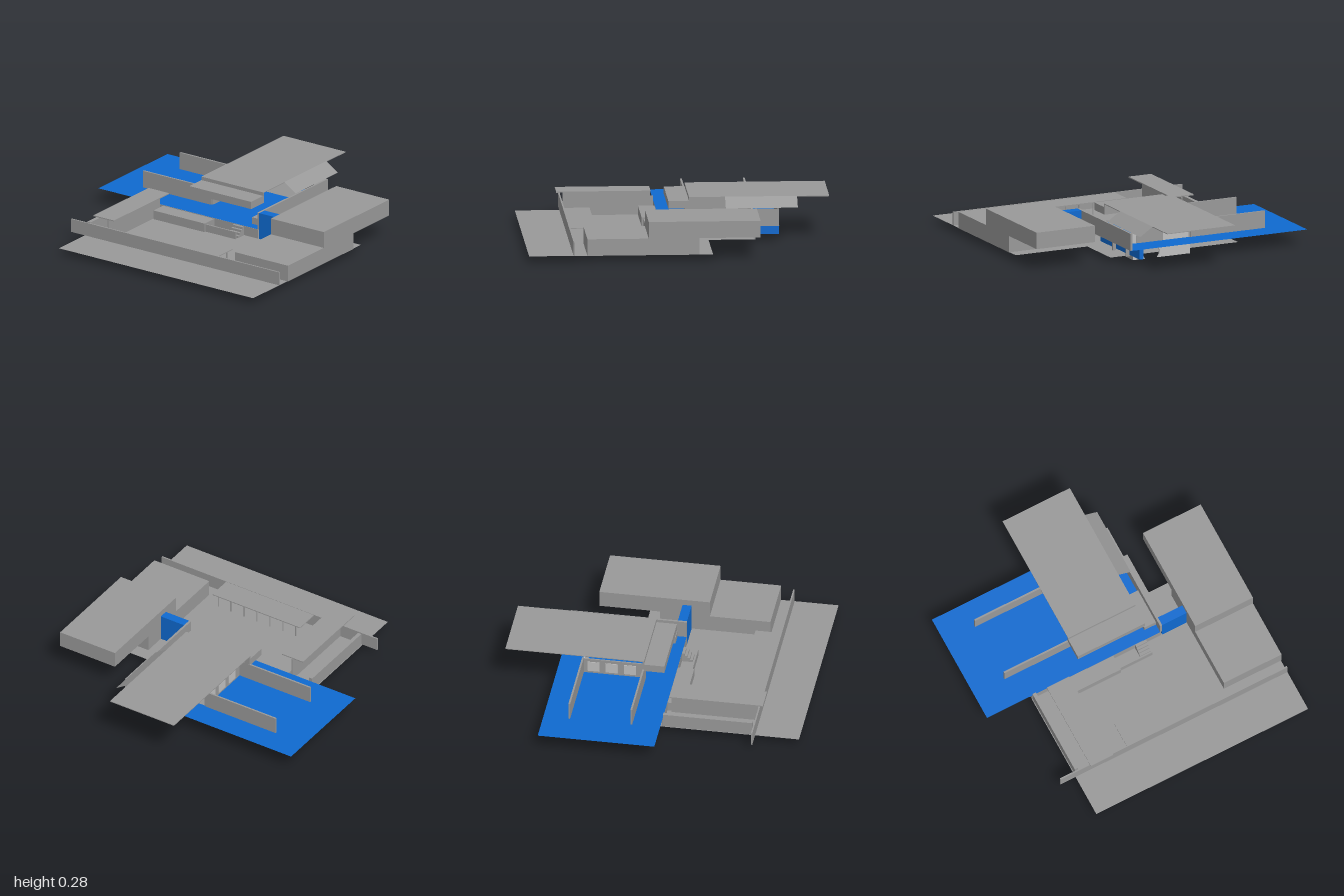
import * as THREE from 'three';

export function createModel() {
  const model = new THREE.Group();
  const mat = (name, color) => {
    const m = new THREE.MeshStandardMaterial({ color, side: THREE.DoubleSide });
    m.name = name;
    return m;
  };
  const gray = mat('concrete gray', 0x999999);
  const blue = mat('deck blue', 0x0f6ad0);
  const light = mat('light gray', 0xc0c0c0);

  const add = (name, geometry, material) => {
    const mesh = new THREE.Mesh(geometry, material);
    mesh.name = name;
    model.add(mesh);
    return mesh;
  };
  // Box given by its limits on each axis
  const box = (name, m, x0, x1, y0, y1, z0, z1) =>
    add(name, new THREE.BoxGeometry(x1 - x0, y1 - y0, z1 - z0), m)
      .position.set((x0 + x1) / 2, (y0 + y1) / 2, (z0 + z1) / 2);
  // Flat sheet at height y
  const sheet = (name, m, x0, x1, y, z0, z1) =>
    add(name, new THREE.PlaneGeometry(x1 - x0, z1 - z0).rotateX(-Math.PI / 2), m)
      .position.set((x0 + x1) / 2, y, (z0 + z1) / 2);

  // Ground levels
  sheet('ground', gray, -1, 0.2, 0.04, -0.62, 0.94);
  sheet('lowerFloor', gray, -0.5, 0.5, 0.03, -0.53, 0.4);
  sheet('deck', blue, -0.1, 0.67, 0.105, -0.95, 0.33);
  box('deckFront', blue, 0.11, 0.67, 0.04, 0.104, 0.245, 0.275);
  box('blueBlock', blue, -0.1, -0.04, 0.04, 0.22, 0.34, 0.52);
  box('deckSide', gray, -0.1, -0.092, 0.04, 0.104, -0.62, 0.33);

  // Two stacked volumes at the front
  box('lowerBlock', gray, -0.62, 0.11, 0.04, 0.15, 0.52, 0.945);
  box('upperBlock', gray, -0.22, 0.51, 0.15, 0.26, 0.52, 0.945);

  // Long side wall and rear walls
  box('longWall', gray, -0.71, -0.7, 0.04, 0.13, -0.73, 0.94);
  box('rearWall', gray, -0.69, -0.1, 0.04, 0.13, -0.615, -0.59);
  box('shelterWall', gray, -0.7, -0.13, 0.04, 0.2, -0.445, -0.435);
  box('shelterRoof', gray, -0.745, -0.13, 0.205, 0.212, -0.525, -0.36);

  // Pergola beside the long wall
  box('pergolaRoof', gray, -0.71, -0.535, 0.122, 0.128, -0.24, 0.44);
  for (let i = 0; i < 7; i++) {
    const post = new THREE.CylinderGeometry(0.004, 0.004, 0.084, 8);
    add('pergolaPost', post, gray).position.set(-0.545, 0.082, -0.2 + i * 0.1);
  }

  // Terrace and steps up to the deck
  box('terrace', gray, -0.208, -0.1, 0.04, 0.1, -0.43, -0.02);
  box('terraceEnd', gray, -0.195, -0.185, 0.04, 0.09, -0.02, 0.22);
  for (let i = 0; i < 4; i++) {
    box('step', gray, -0.17 + i * 0.0175, -0.1, 0.04 + i * 0.015, 0.055 + i * 0.015, 0.14, 0.22);
  }

  // Fins standing on the deck
  for (const x of [0.09, 0.5]) {
    box('deckFin', gray, x - 0.006, x + 0.006, 0.09, 0.22, -0.725, -0.18);
  }

  // Pavilion walls
  box('frontWall', gray, -0.1, 0.665, 0.105, 0.22, 0.325, 0.34);
  box('backWall', gray, 0.09, 0.5, 0.105, 0.21, -0.18, -0.17);
  for (const x of [0.15, 0.27, 0.39]) {
    box('backWindow', light, x, x + 0.08, 0.12, 0.19, -0.184, -0.18);
  }
  box('sideWall', light, 0.49, 0.5, 0.105, 0.21, -0.17, 0.245);
  box('sideDoor', gray, 0.5, 0.505, 0.106, 0.2, 0.02, 0.21);
  box('entryBench', gray, -0.04, 0.21, 0.105, 0.15, 0.24, 0.325);

  // Light wall with an arched opening
  const wall = new THREE.Shape();
  wall.moveTo(-0.245, 0);
  wall.lineTo(-0.163, 0);
  wall.absarc(-0.113, 0.04, 0.06, Math.PI * 1.23, -Math.PI * 0.23, true);
  wall.lineTo(-0.063, 0);
  wall.lineTo(0.17, 0);
  wall.lineTo(0.17, 0.104);
  wall.lineTo(-0.245, 0.104);
  wall.closePath();
  const archGeo = new THREE.ExtrudeGeometry(wall, { depth: 0.01, bevelEnabled: false, curveSegments: 20 });
  archGeo.rotateY(Math.PI / 2);
  add('archedWall', archGeo, light).position.x = 0.51;
  box('archReturn', gray, 0.395, 0.52, 0, 0.045, 0.238, 0.246);

  // Small posts in front of the deck
  for (const x of [0.33, 0.52]) {
    box('deckPost', gray, x - 0.006, x + 0.006, 0.03, 0.104, 0.277, 0.3);
  }
  box('railPost', gray, -0.045, -0.035, 0.025, 0.1, 0.24, 0.29);

  // Main roof with its lower side volume
  sheet('mainRoof', gray, 0.09, 1, 0.285, -0.255, 0.24);
  box('roofEdge', gray, 0.09, 1, 0.279, 0.284, -0.255, 0.24);
  box('roofWall', gray, 0.085, 0.095, 0.21, 0.284, -0.255, 0.24);
  box('sideVolume', gray, -0.05, 0.085, 0.21, 0.26, -0.255, 0.24);

  // Sloping panels below the front roof edge
  const edges = [0.32, 0.425, 0.61, 0.79];
  for (let i = 0; i < 3; i++) {
    const panel = new THREE.PlaneGeometry(edges[i + 1] - edges[i], Math.hypot(0.09, 0.06));
    const mesh = add('slopedPanel', panel, gray);
    mesh.rotation.x = -Math.atan2(0.09, 0.06);
    mesh.position.set((edges[i] + edges[i + 1]) / 2, 0.254, 0.285);
  }
  return model;
}
